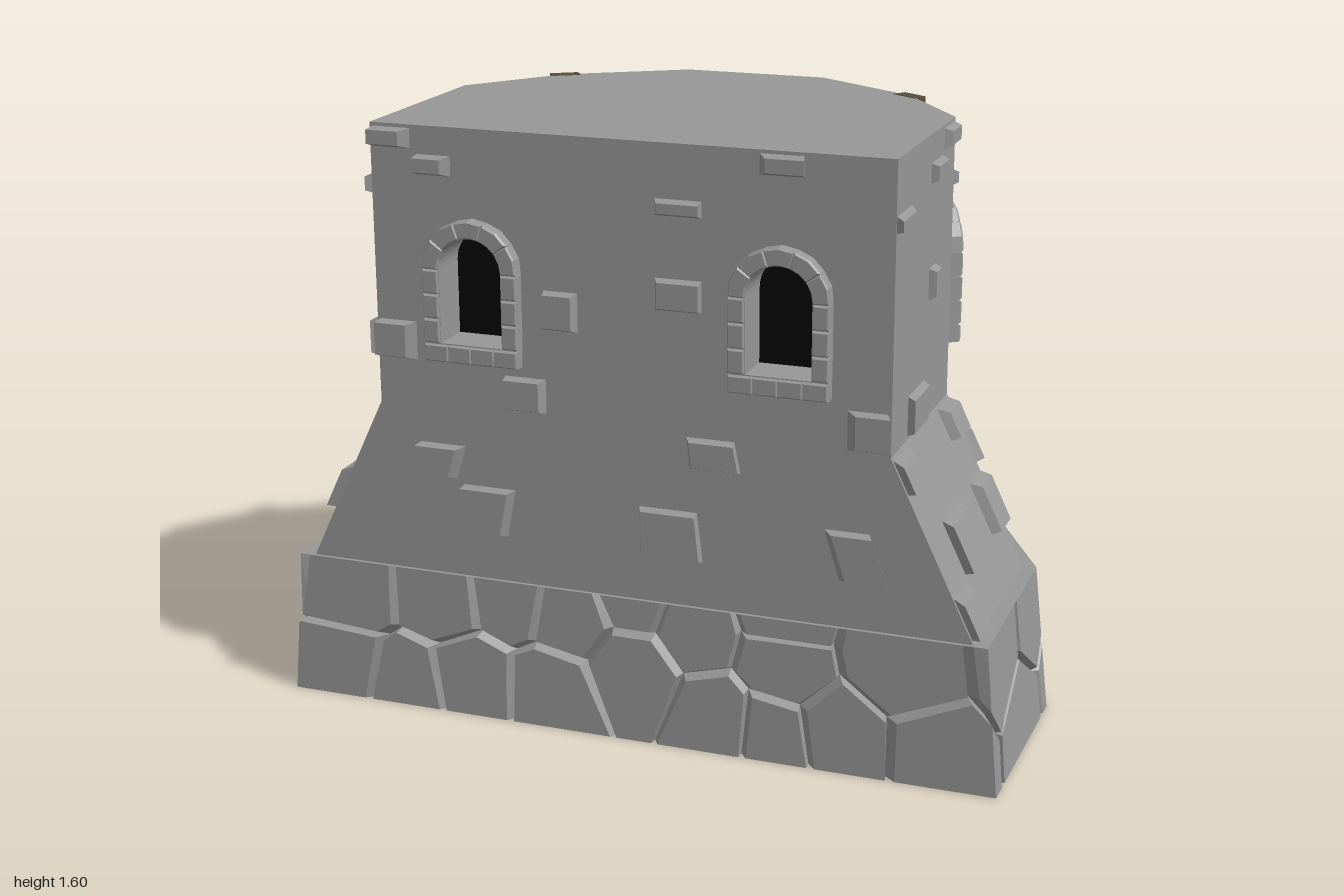
import * as THREE from 'three';
import { mergeGeometries } from 'three/addons/utils/BufferGeometryUtils.js';

const stone = new THREE.MeshStandardMaterial({ color: 0x979797, side: THREE.DoubleSide });
stone.name = 'grey stone';
const dark = new THREE.MeshStandardMaterial({ color: 0x060606 });
dark.name = 'dark opening';
const wood = new THREE.MeshStandardMaterial({ color: 0x564d3a });
wood.name = 'brown timber';

// D-shaped ring from its +x half; facet 0 is the front, then round by +x to the back
const makeRing = (half) => {
  const [a, b, c, d] = half, m = ([x, z]) => [-x, z];
  return [m(a), a, b, c, d, m(d), m(c), m(b)];
};
const footRing = makeRing([[0.985, 0.62], [0.995, 0.05], [0.73, -0.42], [0.3, -0.648]]);
const ledgeRing = makeRing([[0.95, 0.62], [0.95, 0.05], [0.7, -0.42], [0.28, -0.635]]);
const flareRing = makeRing([[0.91, 0.61], [0.91, 0.05], [0.68, -0.39], [0.27, -0.6]]);
const wallRing = makeRing([[0.69, 0.61], [0.69, 0.05], [0.5, -0.21], [0.2, -0.4]]);
const LEDGE = 0.4, NECK = 0.86, TOP = 1.6;

const edge = (ring, f) => {
  const p = ring[f], q = ring[(f + 1) % 8], dx = q[0] - p[0], dz = q[1] - p[1], len = Math.hypot(dx, dz);
  return { p, q, len, nx: -dz / len, nz: dx / len };
};
// Mitred outward direction at a ring corner
const miter = (ring, k) => {
  const a = edge(ring, (k + 7) % 8), b = edge(ring, k % 8), w = 1 + a.nx * b.nx + a.nz * b.nz;
  return [(a.nx + b.nx) / w, (a.nz + b.nz) / w];
};
// Point on a facet between two rings: s along, y up, d outward
const onFacet = (lo, hi, y0, y1) => (f, s, y, d) => {
  const t = (y - y0) / (y1 - y0), g = (f + 1) % 8;
  const corner = (k, i) => {
    const l = lo[k][i] + d * miter(lo, k)[i], h = hi[k][i] + d * miter(hi, k)[i];
    return l + (h - l) * t;
  };
  const c = (i) => corner(f, i) * (1 - s) + corner(g, i) * s;
  return [c(0), y, c(1)];
};
const foot = onFacet(footRing, ledgeRing, 0, LEDGE);
const flare = onFacet(flareRing, wallRing, LEDGE, NECK);
const wall = onFacet(wallRing, wallRing, NECK, TOP);

// Flat-shaded geometry from convex polygons
const fromPolygons = (polys) => {
  const pos = [];
  for (const p of polys)
    for (let i = 1; i < p.length - 1; i++) pos.push(...p[0], ...p[i], ...p[i + 1]);
  const g = new THREE.BufferGeometry();
  g.setAttribute('position', new THREE.Float32BufferAttribute(pos, 3));
  g.computeVertexNormals();
  return g;
};
// Keep the part of a polygon where side(point) >= 0
const clip = (poly, side) => {
  const out = [];
  poly.forEach((a, i) => {
    const b = poly[(i + 1) % poly.length], da = side(a), db = side(b);
    if (da >= 0) out.push(a);
    if (da * db < 0) out.push(a.map((v, k) => v + (b[k] - v) * da / (da - db)));
  });
  return out;
};

// Irregular fieldstones: cells around the unrolled footing with V grooves between
function footingGeometry() {
  const starts = [0];
  for (let f = 0; f < 8; f++) starts.push(starts[f] + edge(footRing, f).len);
  const total = starts[8];
  const sites = [[-0.83, 0.31], [-0.56, 0.33], [-0.35, 0.36], [-0.17, 0.33], [0.01, 0.41], [0.19, 0.34],
    [0.43, 0.42], [0.43, 0.27], [0.75, 0.32], [-0.85, 0.09], [-0.65, 0.06], [-0.46, 0.1], [-0.22, 0.1],
    [0.01, 0.2], [0.25, 0.1], [0.4, 0.08], [0.58, 0.1], [0.85, 0.08]].map(([x, y]) => [x + 0.985, y]);
  // Large stones on both straight sides
  for (const [z, v] of [[0.48, 0.34], [0.33, 0.06], [0.13, 0.35], [-0.1, 0.1]])
    sites.push([starts[1] + 0.62 - z, v], [total - 0.62 + z, v]);
  // Smaller stones round the back
  let seed = 7;
  const rnd = () => (seed = (seed * 16807) % 2147483647) / 2147483647 - 0.5;
  for (let u = starts[1] + 0.82, i = 0; u < total - 0.8; u += 0.145, i++)
    sites.push([u + rnd() * 0.09, (i % 2 ? 0.1 : 0.31) + rnd() * 0.13]);
  const all = [-total, 0, total].flatMap((o) => sites.map(([u, v]) => [u + o, v]));
  const polys = [];
  for (const [u, v] of sites) {
    let cell = [[u - 0.6, 0], [u + 0.6, 0], [u + 0.6, LEDGE], [u - 0.6, LEDGE]];
    for (const [a, b] of all) {
      if (a === u && b === v) continue;
      cell = clip(cell, ([x, y]) => (u - a) * (x - (u + a) / 2) + (v - b) * (y - (v + b) / 2));
    }
    const n = cell.length, cx = cell.reduce((t, p) => t + p[0], 0) / n, cy = cell.reduce((t, p) => t + p[1], 0) / n;
    const rim = cell.map(([x, y]) => [x, y, -0.025]);
    const face = cell.map(([x, y]) => {
      const k = Math.min(0.4, 0.016 / Math.hypot(cx - x, cy - y));
      const flat = y < 1e-6 || y > LEDGE - 1e-6;
      return [x + (cx - x) * k, flat ? y : y + (cy - y) * k, 0];
    });
    const pieces = [face, ...rim.map((p, i) => [p, rim[(i + 1) % n], face[(i + 1) % n], face[i]])];
    // Fold each piece around the corners
    for (let k = -1; k <= 8; k++) {
      const f = (k + 8) % 8, len = edge(footRing, f).len;
      const u0 = k < 0 ? -len : k > 7 ? total : starts[k];
      for (const piece of pieces) {
        const part = clip(clip(piece, (p) => p[0] - u0), (p) => u0 + len - p[0]);
        if (part.length > 2) polys.push(part.map(([x, y, d]) => foot(f, (x - u0) / len, y, d)));
      }
    }
  }
  return fromPolygons(polys);
}

// Sloping skirt in small patches, since its facets twist slightly
function skirtGeometry() {
  const polys = [], n = 4, h = (NECK - LEDGE) / n;
  for (let f = 0; f < 8; f++)
    for (let i = 0; i < n; i++)
      for (let j = 0; j < n; j++)
        polys.push([[0, 0], [1, 0], [1, 1], [0, 1]].map(([a, b]) => flare(f, (i + a) / n, LEDGE + (j + b) * h, 0)));
  return fromPolygons(polys);
}

// Raised bricks per facet: offset from facet centre, height, width, height of brick
const frontBricks = [[-0.63, 1.565, 0.11, 0.06], [-0.515, 1.5, 0.1, 0.06], [-0.175, 1.15, 0.1, 0.11],
  [-0.63, 1.035, 0.11, 0.11], [-0.275, 0.92, 0.12, 0.1], [-0.53, 0.715, 0.14, 0.1], [-0.4, 0.59, 0.16, 0.14],
  [0.405, 1.565, 0.12, 0.06], [0.14, 1.44, 0.13, 0.05], [0.14, 1.22, 0.13, 0.09], [0.23, 0.815, 0.14, 0.09],
  [0.63, 0.92, 0.11, 0.11], [0.115, 0.59, 0.17, 0.14], [0.605, 0.59, 0.13, 0.14]];
const rightBricks = [[0.22, 1.565, 0.11, 0.06], [0.1, 1.5, 0.12, 0.06], [-0.21, 1.44, 0.14, 0.05],
  [0.08, 1.215, 0.07, 0.09], [-0.05, 0.92, 0.16, 0.11], [-0.21, 0.81, 0.13, 0.09], [0.22, 0.81, 0.12, 0.09],
  [-0.05, 0.59, 0.17, 0.14], [0.22, 0.59, 0.12, 0.14], [-0.21, 0.46, 0.13, 0.11]];
const leftBricks = [[-0.22, 1.5, 0.11, 0.06], [-0.14, 1.36, 0.1, 0.07], [0.21, 1.44, 0.13, 0.06],
  [0.22, 1.035, 0.12, 0.11], [0.06, 0.8, 0.19, 0.1], [-0.23, 0.6, 0.11, 0.13], [0.21, 0.6, 0.11, 0.13]];
const cantedBricks = [[-0.04, 1.56, 0.08, 0.06], [-0.115, 1.44, 0.08, 0.05], [-0.07, 0.92, 0.08, 0.1],
  [0.06, 0.92, 0.08, 0.1], [-0.13, 0.72, 0.1, 0.1], [0.1, 0.59, 0.11, 0.14]];
const rearRightBricks = [[-0.09, 1.34, 0.08, 0.12], [0, 1.03, 0.08, 0.11], [0.08, 1.5, 0.1, 0.06],
  [-0.07, 0.81, 0.08, 0.09], [0.1, 0.81, 0.08, 0.09], [-0.12, 0.59, 0.1, 0.14], [0.12, 0.72, 0.1, 0.1]];
const rearLeftBricks = [[0.04, 1.49, 0.09, 0.09], [0.04, 1.33, 0.08, 0.06], [0.04, 1.07, 0.08, 0.1],
  [-0.04, 0.81, 0.09, 0.08], [-0.14, 0.6, 0.1, 0.13], [0.1, 0.6, 0.1, 0.13]];
const backBricks = [[-0.12, 1.45, 0.09, 0.07], [0.08, 1.5, 0.09, 0.08], [0.1, 0.92, 0.09, 0.07],
  [-0.12, 0.78, 0.13, 0.1], [0.12, 0.68, 0.13, 0.1], [-0.06, 0.55, 0.12, 0.12]];
const flip = (list) => list.map(([x, ...r]) => [-x, ...r]);
const bricks = [frontBricks, rightBricks, cantedBricks, rearRightBricks, backBricks,
  rearLeftBricks, flip(cantedBricks), leftBricks];

function brickGeometry(f) {
  const polys = [];
  for (const [x, y, w, h] of bricks[f]) {
    const low = y < NECK, at = low ? flare : wall, t = low ? (y - LEDGE) / (NECK - LEDGE) : 1;
    const len = edge(flareRing, f).len * (1 - t) + edge(wallRing, f).len * t;
    const loop = (inset, d) => [[-1, -1], [1, -1], [1, 1], [-1, 1]].map(([i, j]) =>
      at(f, 0.5 + (x + i * (w / 2 - inset)) / len, y + j * (h / 2 - inset), d));
    const a = loop(0, -0.01), b = loop(0.012, low && f ? 0.029 : 0.02);
    polys.push(b, ...a.map((p, i) => [p, a[(i + 1) % 4], b[(i + 1) % 4], b[i]]));
  }
  return fromPolygons(polys);
}

// Round-headed outline
const SPRING = 1.24;
const arch = (r, y0, Type = THREE.Shape) => {
  const s = new Type();
  s.moveTo(-r, y0).lineTo(r, y0).lineTo(r, SPRING).absarc(0, SPRING, r, 0, Math.PI, false).lineTo(-r, y0);
  return s;
};
// Window surround: a deep core with separate jamb, arch and sill stones on it
function surroundGeometry() {
  const core = arch(0.126, 0.998);
  core.holes.push(arch(0.085, 1.045, THREE.Path));
  const parts = [new THREE.ExtrudeGeometry(core, { depth: 0.127, bevelEnabled: false, curveSegments: 10 }).translate(0, 0, -0.095)];
  const block = (pts) => parts.push(new THREE.ExtrudeGeometry(new THREE.Shape(pts.map((p) => new THREE.Vector2(...p))),
    { depth: 0.03, bevelThickness: 0.006, bevelSize: 0.004, bevelSegments: 1 }).translate(0, 0, 0.004));
  const rect = (x0, x1, y0, y1) => block([[x0, y0], [x1, y0], [x1, y1], [x0, y1]]);
  for (const side of [-1, 1])
    for (let i = 0; i < 3; i++) {
      const c = side * 0.108, y = 1.05 + i * 0.065;
      rect(c - 0.018, c + 0.018, y, y + 0.054);
    }
  for (let i = 0; i < 4; i++) rect(-0.125 + i * 0.064, -0.067 + i * 0.064, 1.0, 1.038);
  for (let i = 0; i < 5; i++) {
    const at = (r, k) => {
      const a = (i + 0.05 + k * 0.9) * Math.PI / 5;
      return [r * Math.cos(a), SPRING + r * Math.sin(a)];
    };
    block([at(0.09, 0), at(0.126, 0), at(0.128, 0.5), at(0.126, 1), at(0.09, 1), at(0.09, 0.5)]);
  }
  return mergeGeometries(parts);
}

export function createModel() {
  const model = new THREE.Group();
  const add = (parent, name, geometry, material) => {
    const m = new THREE.Mesh(geometry, material);
    m.name = name;
    parent.add(m);
  };

  // Hollow footing with a narrow ledge, open skirt and flat roof
  add(model, 'footingStones', footingGeometry(), stone);
  add(model, 'footingLedge', fromPolygons(wallRing.map((_, f) =>
    [foot(f, 0, LEDGE, 0), foot(f, 1, LEDGE, 0), flare(f, 1, LEDGE, 0), flare(f, 0, LEDGE, 0)])), stone);
  add(model, 'skirt', skirtGeometry(), stone);
  const roof = new THREE.ShapeGeometry(new THREE.Shape(wallRing.map(([x, z]) => new THREE.Vector2(x, -z))));
  add(model, 'roof', roof.rotateX(-Math.PI / 2).translate(0, TOP, 0), stone);

  // Upper wall facets with their windows and bricks
  const surround = surroundGeometry();
  const pane = new THREE.ShapeGeometry(arch(0.09, 1.04)).translate(0, 0, -0.08);
  const windowSpots = { 0: [-0.41, 0.41], 2: [-0.02], 4: [0], 6: [0.02] };
  for (let f = 0; f < 8; f++) {
    const e = edge(wallRing, f), side = new THREE.Group(), h = e.len / 2;
    side.name = 'wallSide' + f;
    side.position.set((e.p[0] + e.q[0]) / 2, 0, (e.p[1] + e.q[1]) / 2);
    side.rotation.y = Math.atan2(e.nx, e.nz);
    const panel = new THREE.Shape([[-h, NECK], [h, NECK], [h, TOP], [-h, TOP]].map((p) => new THREE.Vector2(...p)));
    for (const x of windowSpots[f] || []) {
      panel.holes.push(new THREE.Path(arch(0.1, 1.02).getPoints(8).map((p) => p.setX(p.x + x))));
      const win = new THREE.Group();
      win.name = 'window';
      win.position.x = x;
      add(win, 'windowSurround', surround, stone);
      add(win, 'windowOpening', pane, dark);
      side.add(win);
    }
    add(side, 'wallPanel', new THREE.ShapeGeometry(panel), stone);
    model.add(side);
    add(model, 'raisedBricks' + f, brickGeometry(f), stone);
  }

  // Timber posts on the rear corners, set flat against the rear facets
  for (const s of [-1, 1]) {
    const post = new THREE.BoxGeometry(0.08, TOP - NECK, 0.042);
    post.rotateY(s * 2.577).translate(s * 0.5, (TOP + NECK) / 2 + 0.001, -0.208);
    add(model, 'cornerPost', post, wood);
  }
  return model;
}
